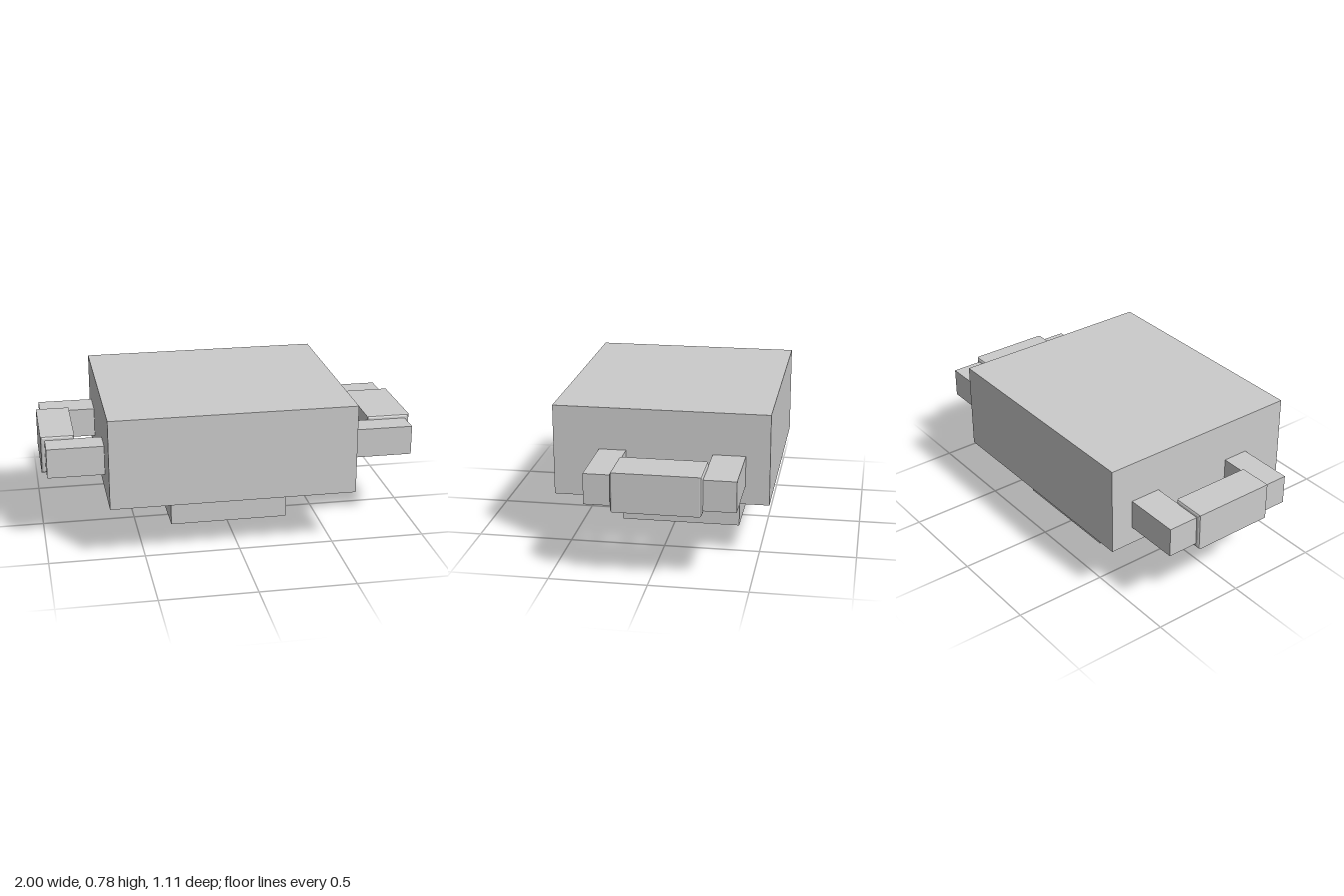
import * as THREE from 'three';

const material = new THREE.MeshStandardMaterial({ color: 0xcccccc });

// Box given by its extents on each axis
function box(name, [x0, x1], [y0, y1], [z0, z1]) {
  const geometry = new THREE.BoxGeometry(x1 - x0, y1 - y0, z1 - z0);
  geometry.translate((x0 + x1) / 2, (y0 + y1) / 2, (z0 + z1) / 2);
  const mesh = new THREE.Mesh(geometry, material);
  mesh.name = name;
  return mesh;
}

// Sleeve along z whose two ends are rounded over
function sleeve(name, [x0, x1], [y0, y1], [z0, z1]) {
  const inset = 0.02, round = 0.012;
  const shape = new THREE.Shape([
    new THREE.Vector2(x0 + inset, y0 + inset),
    new THREE.Vector2(x1 - inset, y0 + inset),
    new THREE.Vector2(x1 - inset, y1 - inset),
    new THREE.Vector2(x0 + inset, y1 - inset),
  ]);
  const geometry = new THREE.ExtrudeGeometry(shape, {
    depth: z1 - z0 - 2 * round,
    bevelThickness: round,
    bevelSize: inset,
    bevelSegments: 3,
  });
  geometry.translate(0, 0, z0 + round);
  const mesh = new THREE.Mesh(geometry, material);
  mesh.name = name;
  return mesh;
}

// Handle: two arms reaching out of the body, joined by a grip
function handle(name, armX, gripX) {
  const group = new THREE.Group();
  group.name = name;
  const armY = [0.397, 0.555];
  group.add(
    box('backArm', armX, armY, [-0.432, -0.265]),
    box('frontArm', armX, armY, [0.178, 0.318]),
    sleeve('grip', gripX, [0.373, 0.575], [-0.268, 0.184]),
  );
  return group;
}

export function createModel() {
  const model = new THREE.Group();
  model.name = 'handledBlock';

  // Body and the stepped blocks below it
  model.add(
    box('body', [-0.68, 0.605], [0.3, 0.776], [-0.555, 0.555]),
    box('lowerBlock', [-0.328, 0.302], [0.058, 0.3], [-0.37, 0.26]),
    box('plate', [-0.13, 0.108], [0.028, 0.058], [-0.174, 0.063]),
    box('tip', [-0.055, 0.027], [0, 0.028], [-0.096, -0.014]),
  );

  // Side handles
  model.add(
    handle('leftHandle', [0.6, 0.975], [0.765, 1]),
    handle('rightHandle', [-0.978, -0.675], [-1, -0.822]),
  );
  return model;
}
